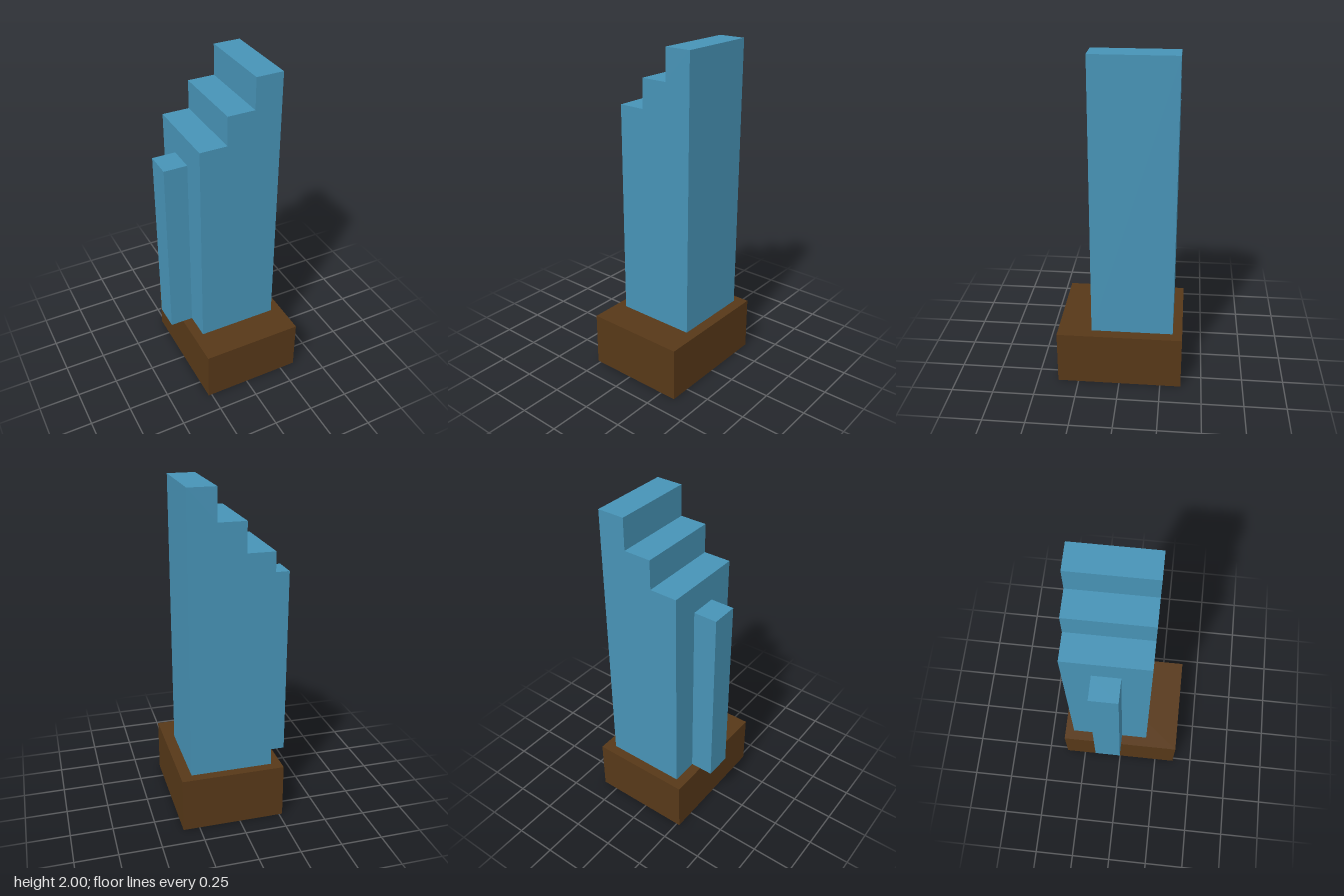
import * as THREE from 'three';

const blue = new THREE.MeshStandardMaterial({ color: 0x4793b6 });
const brown = new THREE.MeshStandardMaterial({ color: 0x573818 });

// Box given by its minimum and maximum corners
function box(name, [x0, y0, z0], [x1, y1, z1], material) {
  const mesh = new THREE.Mesh(new THREE.BoxGeometry(x1 - x0, y1 - y0, z1 - z0), material);
  mesh.position.set((x0 + x1) / 2, (y0 + y1) / 2, (z0 + z1) / 2);
  mesh.name = name;
  return mesh;
}

export function createModel() {
  const group = new THREE.Group();
  group.name = 'steppedTower';
  const deck = 0.33;

  // Plinth: brown with a blue underside (face order +x, -x, +y, -y, +z, -z)
  group.add(box('plinth', [-0.27, 0, -0.375], [0.348, deck, 0.375],
    [brown, brown, brown, blue, brown, brown]));

  // Main tower: stepped outline extruded front to back
  const outline = [
    [-0.208, deck], [0.281, deck], [0.281, 2], [0.119, 2],
    [0.119, 1.814], [-0.044, 1.814], [-0.044, 1.64], [-0.208, 1.64],
  ].map(([x, y]) => new THREE.Vector2(x, y));
  const towerGeometry = new THREE.ExtrudeGeometry(new THREE.Shape(outline),
    { depth: 0.49, bevelEnabled: false });
  const tower = new THREE.Mesh(towerGeometry, blue);
  tower.position.z = -0.318;
  tower.name = 'mainTower';
  group.add(tower);

  // Slim side tower overhanging the plinth
  group.add(box('sideTower', [-0.349, deck, -0.155], [-0.208, 1.475, 0.008], blue));

  return group;
}
